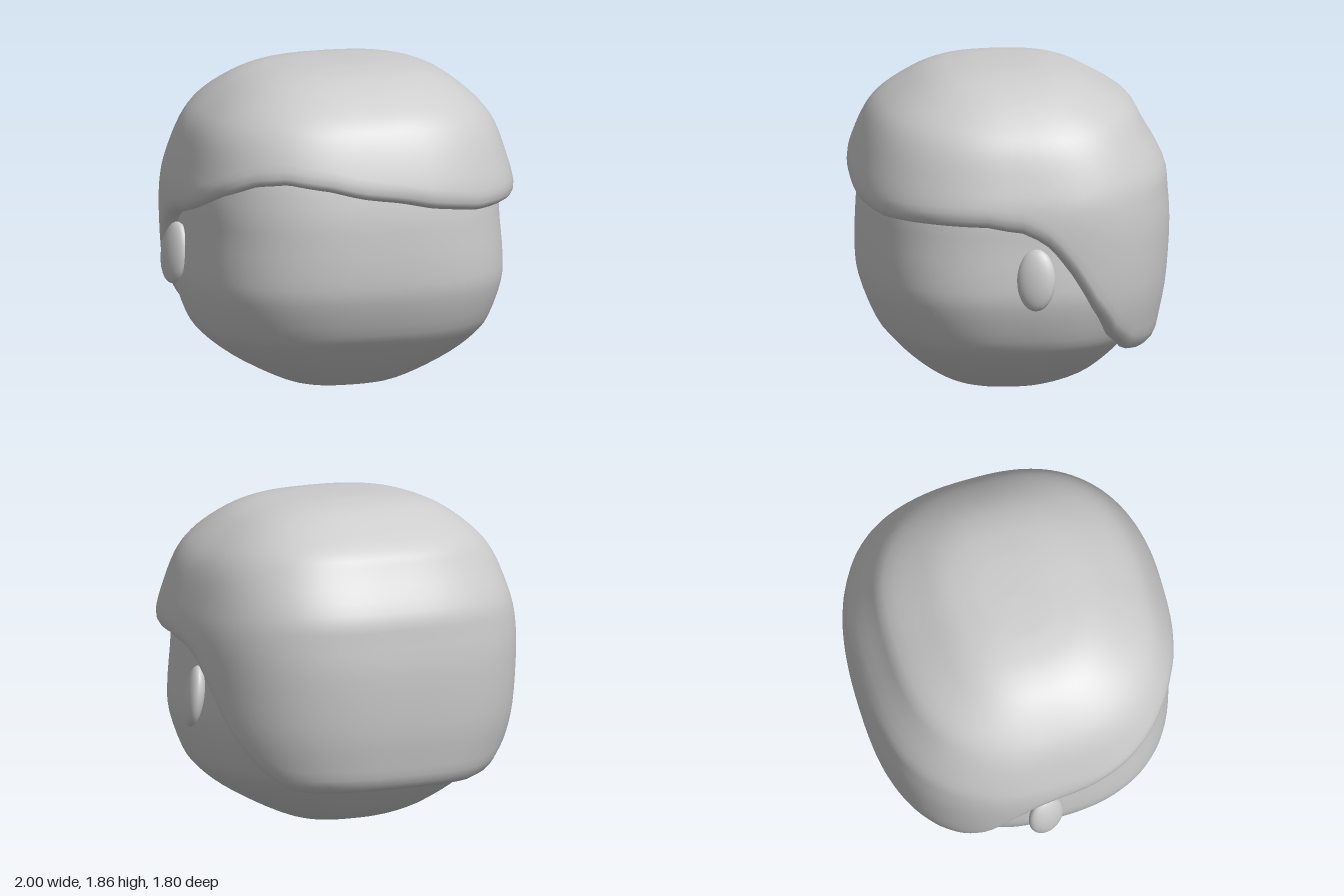
import * as THREE from 'three';

const COLS = 128;
const POWER = 0.77; // squareness of the horizontal cross-sections

// Rows are [y, half width, front depth, back depth], top to bottom
const HEAD = [
  [1.75, 0, 0, 0], [1.72, 0.3, 0.28, 0.26], [1.6, 0.6, 0.55, 0.52], [1.4, 0.79, 0.75, 0.73],
  [1.15, 0.87, 0.82, 0.8], [0.95, 0.888, 0.838, 0.82], [0.75, 0.905, 0.84, 0.8],
  [0.6, 0.9, 0.82, 0.78], [0.4, 0.835, 0.74, 0.71], [0.3, 0.765, 0.66, 0.65],
  [0.2, 0.64, 0.56, 0.56], [0.1, 0.46, 0.43, 0.44], [0.035, 0.31, 0.3, 0.28],
  [0.005, 0.17, 0.14, 0.14], [0, 0, 0, 0],
];
const HAIR = [
  [1.86, 0, 0, 0], [1.855, 0.17, 0.15, 0.15], [1.845, 0.3, 0.26, 0.24], [1.815, 0.46, 0.41, 0.37],
  [1.75, 0.61, 0.55, 0.5], [1.63, 0.76, 0.72, 0.69], [1.5, 0.86, 0.81, 0.77],
  [1.3, 0.93, 0.885, 0.88], [1.15, 0.965, 0.91, 0.9], [0.95, 0.97, 0.91, 0.91],
  [0.65, 0.95, 0.9, 0.89], [0.45, 0.9, 0.86, 0.855], [0.3, 0.84, 0.82, 0.82], [0.15, 0.76, 0.74, 0.76],
];

// Hairline height by angle in degrees: 0 = left side, 90 = front, 180 = right side
const RIM = [
  [-90, 0.28], [-59, 0.28], [-46, 0.3], [-34, 0.4], [-22, 0.6], [-14, 0.79], [-6.5, 0.95], [0, 1.045],
  [8, 1.08], [30, 1.09], [57, 1.095], [77, 1.14], [90, 1.2], [103, 1.265], [120, 1.305], [134, 1.285],
  [152, 1.2], [168, 1.1], [180, 1.03], [186.5, 0.95], [194, 0.79], [202, 0.6], [214, 0.4],
  [226, 0.3], [239, 0.28], [270, 0.28],
];

// Smooth sample through the rows at fractional position u
function sample(rows, u) {
  const last = rows.length - 1;
  const i = Math.min(Math.floor(u), last - 1), t = u - i;
  const [a, b, c, d] = [i - 1, i, i + 1, i + 2].map((k) => rows[Math.max(0, Math.min(last, k))]);
  return b.map((p, k) => {
    const m0 = (c[k] - a[k]) / 2, m1 = (d[k] - p) / 2, q = c[k];
    return (2 * t ** 3 - 3 * t * t + 1) * p + (t ** 3 - 2 * t * t + t) * m0
      + (3 * t * t - 2 * t ** 3) * q + (t ** 3 - t * t) * m1;
  });
}

function rimHeight(angle) {
  const i = Math.max(0, Math.min(RIM.length - 2, RIM.findIndex((r) => r[0] > angle) - 1));
  const [a0, y0] = RIM[i], [a1, y1] = RIM[i + 1];
  return THREE.MathUtils.lerp(y0, y1, (angle - a0) / (a1 - a0));
}

// Position along the rows where a given height is reached
function findHeight(rows, y) {
  let lo = 0, hi = rows.length - 1;
  for (let k = 0; k < 30; k++) {
    const mid = (lo + hi) / 2;
    if (sample(rows, mid)[0] > y) lo = mid; else hi = mid;
  }
  return lo;
}

// Point on a rounded-square ring
function ringPoint([y, w, front, back], angle) {
  const c = Math.cos(angle), s = Math.sin(angle);
  return [
    w * Math.sign(c) * Math.abs(c) ** POWER, y,
    (s > 0 ? front : back) * Math.sign(s) * Math.abs(s) ** POWER,
  ];
}

// Closed rings joined from top to bottom; pointAt(row, degrees) gives each vertex
function loft(rowCount, pointAt) {
  const pos = [], index = [];
  for (let r = 0; r < rowCount; r++) {
    for (let j = 0; j < COLS; j++) {
      pos.push(...pointAt(r, -90 + (360 * j) / COLS));
      if (r === rowCount - 1) continue;
      const a = r * COLS + j, b = r * COLS + (j + 1) % COLS;
      index.push(a, b, a + COLS, b, b + COLS, a + COLS);
    }
  }
  const g = new THREE.BufferGeometry();
  g.setAttribute('position', new THREE.Float32BufferAttribute(pos, 3));
  g.setIndex(index);
  g.computeVertexNormals();
  return g;
}

export function createModel() {
  const group = new THREE.Group();
  group.name = 'headWithHair';
  const grey = new THREE.MeshStandardMaterial({ color: 0xcccccc });
  grey.name = 'plain grey';
  const add = (name, geometry) => {
    const mesh = new THREE.Mesh(geometry, grey);
    mesh.name = name;
    group.add(mesh);
    return mesh;
  };
  const rad = THREE.MathUtils.degToRad;

  // Head
  const headRows = 43;
  add('head', loft(headRows, (r, deg) =>
    ringPoint(sample(HEAD, (r / (headRows - 1)) * (HEAD.length - 1)), rad(deg))));

  // Hair cap with a swept fringe and a rounded lip turning in to the head
  const lip = [[0.04, 0.008], [0.015, 0.025], [0, 0.05], [0.003, 0.08], [0.03, 0.13]]; // rise, inset
  const capRows = 36;
  add('hair', loft(capRows + lip.length, (r, deg) => {
    const rim = rimHeight(deg);
    if (r < capRows) {
      const end = findHeight(HAIR, rim + 0.08);
      return ringPoint(sample(HAIR, (r / (capRows - 1)) * end), rad(deg));
    }
    const [rise, inset] = lip[r - capRows];
    const [, w, f, b] = sample(HAIR, findHeight(HAIR, rim + rise));
    return ringPoint([rim + rise, w * (1 - inset), f * (1 - inset), b * (1 - inset)], rad(deg));
  }));

  // Ears, leaning in at the top and flaring out at the back
  for (const side of [1, -1]) {
    const ear = add(side > 0 ? 'leftEar' : 'rightEar', new THREE.SphereGeometry(1, 24, 16));
    ear.scale.set(0.055, 0.175, 0.11);
    ear.position.set(side * 0.932, 0.776, -0.075);
    ear.rotation.set(0, -side * 0.3, side * 0.14);
  }
  return group;
}
